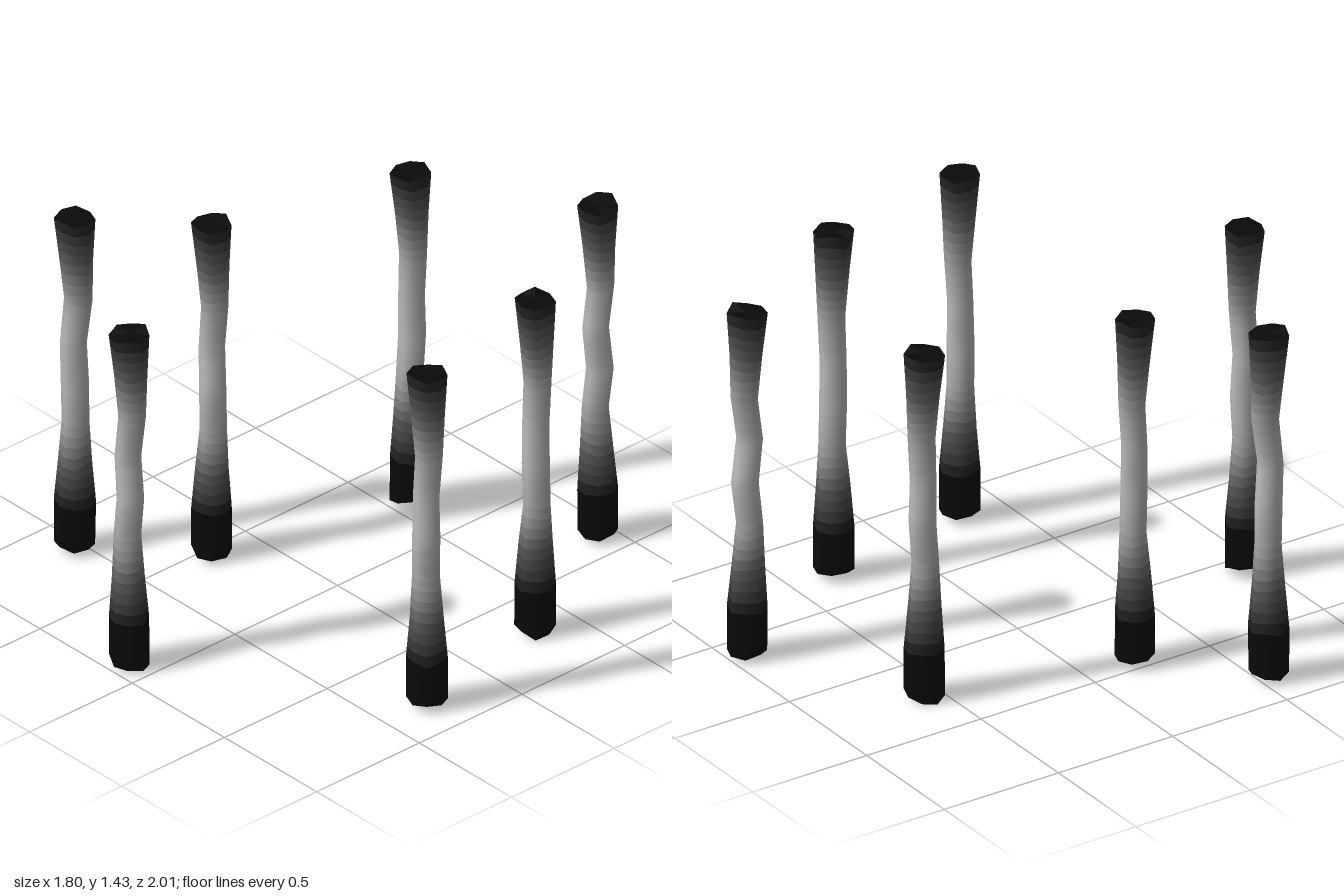
import * as THREE from 'three';

const SIDES = 8, STEPS = 4; // faces around a pillar, shade bands between key rings
const HEIGHTS = [0.045, 0.225, 0.395, 0.565, 0.735, 0.905, 1.08, 1.255, 1.433];
const RADII = [0.074, 0.074, 0.06, 0.05, 0.05, 0.048, 0.05, 0.06, 0.074];
const SHADES = [0.003, 0.003, 0.1, 0.4, 0.5, 0.5, 0.4, 0.12, 0.003]; // linear grey
const KEYS = HEIGHTS.length;

// Position, slope of the foot, and sideways bends of the four middle rings (thousandths)
const PILLARS = [
  { x: 0.377, z: -0.931, foot: 0, dx: [-7, 1, 1, 3], dz: [6, -9, 11, -10] },
  { x: -0.245, z: -0.577, foot: 0.018, dx: [4, 1, 1, 4], dz: [7, -8, -3, -9] },
  { x: 0.713, z: -0.322, foot: -0.016, dx: [4, 2, 0, 4], dz: [-5, -1, -3, -9] },
  { x: -0.459, z: 0.201, foot: -0.01, dx: [4, 9, -1, 11], dz: [-7, 1, -5, -7] },
  { x: 0.825, z: 0.304, foot: 0, dx: [-8, 1, -6, 3], dz: [-3, 5, -1, -5] },
  { x: -0.822, z: 0.541, foot: 0, dx: [3, 0, 0, 4], dz: [-1, -1, 7, -13] },
  { x: -0.098, z: 0.924, foot: -0.02, dx: [-13, 3, -8, 15], dz: [-3, -1, 0, 1] },
];

function seeded(seed) {
  return () => {
    seed = (seed * 16807) % 2147483647;
    return seed / 1073741823.5 - 1;
  };
}

// Sideways shift of key ring k, fading out towards foot and crown
function bend(offsets, k) {
  const fade = k === 2 ? 0.4 : k === 7 ? 0.5 : k > 2 && k < 7 ? 1 : 0;
  return offsets[THREE.MathUtils.clamp(k - 3, 0, 3)] * fade / 1000;
}

// Uneven eight-sided ring of a pillar at key height k
function keyRing(p, k, turn, wobble, rand) {
  const rag = k === 0 || k === KEYS - 1 ? 0.012 : 0.008;
  return wobble.map((w, i) => {
    const a = turn + (i / SIDES) * Math.PI * 2;
    const r = RADII[k] * (1 + w + rand() * 0.025);
    const y = HEIGHTS[k] + rand() * rag + (k === 0 ? p.foot * Math.cos(a) : 0);
    return new THREE.Vector3(
      p.x + bend(p.dx, k) + r * Math.cos(a),
      Math.max(0, y),
      p.z + bend(p.dz, k) + r * Math.sin(a));
  });
}

// Fan closing one ragged end
function endCap(ring, up) {
  const centre = ring.reduce((sum, v) => sum.add(v), new THREE.Vector3()).divideScalar(SIDES);
  const points = [];
  for (let i = 0; i < SIDES; i++) {
    const a = ring[i], b = ring[(i + 1) % SIDES];
    points.push(centre, up ? b : a, up ? a : b);
  }
  const geo = new THREE.BufferGeometry().setFromPoints(points);
  geo.computeVertexNormals();
  return geo;
}

// Index of the side faces between two rows
function sideIndex(from, to) {
  const index = [];
  for (let row = from; row < to; row++) {
    for (let i = 0; i < SIDES; i++) {
      const a = row * SIDES + i, b = row * SIDES + (i + 1) % SIDES;
      index.push(a, a + SIDES, b, b, a + SIDES, b + SIDES);
    }
  }
  return index;
}

// Grey of the band above a row
function shadeOf(row) {
  const k = Math.floor(row / STEPS), t = (row % STEPS + 0.5) / STEPS;
  return THREE.MathUtils.lerp(SHADES[k], SHADES[k + 1], t);
}

function makePillar(p, n, materialFor) {
  const group = new THREE.Group();
  group.name = 'pillar' + (n + 1);
  const rand = seeded(7919 * (n + 3));
  const turn = rand() * 0.2;
  const wobble = Array.from({ length: SIDES }, () => rand() * 0.03);
  const rings = HEIGHTS.map((_, k) => keyRing(p, k, turn, wobble, rand));

  // Rows interpolated between the key rings
  const rows = (KEYS - 1) * STEPS, points = [];
  for (let row = 0; row <= rows; row++) {
    const k = Math.min(Math.floor(row / STEPS), KEYS - 2), t = row / STEPS - k;
    for (let i = 0; i < SIDES; i++) points.push(rings[k][i].clone().lerp(rings[k + 1][i], t));
  }
  const whole = new THREE.BufferGeometry().setFromPoints(points);
  whole.setIndex(sideIndex(0, rows));
  whole.computeVertexNormals();

  const add = (geo, name, shade) => {
    const mesh = new THREE.Mesh(geo, materialFor(shade));
    mesh.name = name;
    group.add(mesh);
  };

  // Bands of equal shade share smooth normals, so the shaft reads as one surface
  for (let row = 0; row < rows;) {
    let end = row + 1;
    while (end < rows && Math.abs(shadeOf(end) - shadeOf(row)) < 1e-6) end++;
    const band = new THREE.BufferGeometry();
    band.setAttribute('position', whole.attributes.position);
    band.setAttribute('normal', whole.attributes.normal);
    band.setIndex(sideIndex(row, end));
    add(band, row === 0 ? 'foot' : row >= rows - STEPS ? 'crown' : 'shaft', shadeOf(row));
    row = end;
  }
  add(endCap(rings[0], false), 'footCap', SHADES[0]);
  add(endCap(rings[KEYS - 1], true), 'crownCap', SHADES[KEYS - 1]);
  return group;
}

export function createModel() {
  const model = new THREE.Group();
  model.name = 'pillarCircle';
  const materials = new Map();
  const materialFor = (shade) => {
    const key = shade.toFixed(4);
    if (!materials.has(key)) {
      materials.set(key, new THREE.MeshStandardMaterial({ color: new THREE.Color(shade, shade, shade) }));
    }
    return materials.get(key);
  };
  PILLARS.forEach((p, n) => model.add(makePillar(p, n, materialFor)));
  return model;
}
